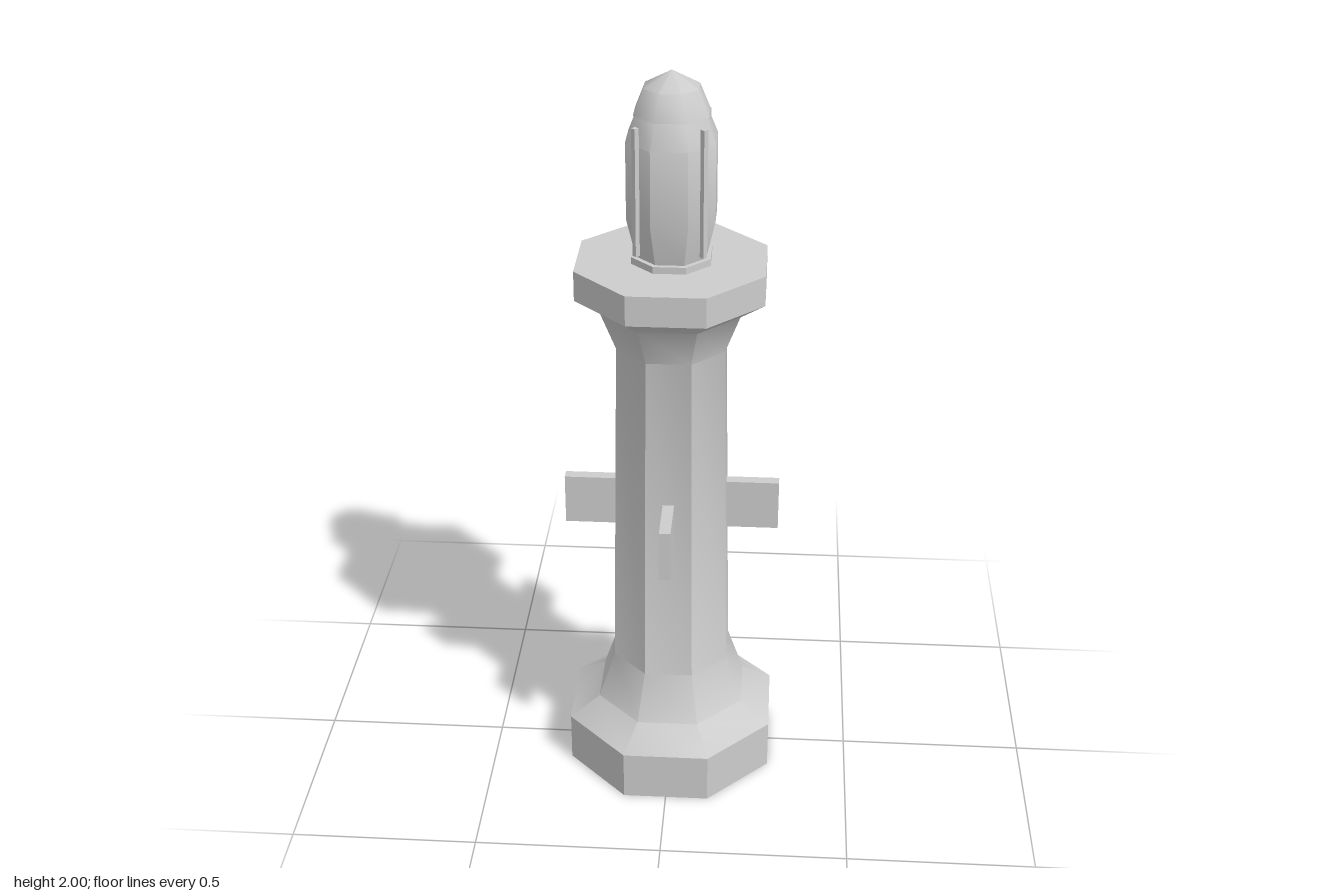
import * as THREE from 'three';
import { toCreasedNormals } from 'three/addons/utils/BufferGeometryUtils.js';

const CREASE = THREE.MathUtils.degToRad(42.8);

// Eight-sided solid with flats facing the axes; profile = [apothem, y] from bottom to top
function octagon(name, profile, material) {
  const k = 1 / Math.cos(Math.PI / 8);
  const points = profile.map(([r, y]) => new THREE.Vector2(r * k, y));
  const geometry = toCreasedNormals(new THREE.LatheGeometry(points, 8, Math.PI / 8), CREASE);
  const mesh = new THREE.Mesh(geometry, material);
  mesh.name = name;
  return mesh;
}

export function createModel() {
  const model = new THREE.Group();
  model.name = 'lanternTower';
  const stone = new THREE.MeshStandardMaterial({ color: 0xcccccc });
  stone.name = 'pale grey';

  // Plinth, flared shaft and gallery slab
  model.add(octagon('tower', [
    [0, 0], [0.28, 0], [0.28, 0.14], [0.2, 0.195], [0.157, 0.33],
    [0.14, 1.28], [0.178, 1.385], [0.24, 1.43], [0.24, 1.51], [0, 1.51],
  ], stone));

  // Lantern on its collar
  model.add(octagon('lanternCollar', [[0, 1.5], [0.1, 1.5], [0.1, 1.528], [0, 1.528]], stone));
  model.add(octagon('lanternBody', [
    [0, 1.52], [0.088, 1.528], [0.111, 1.63], [0.111, 1.83], [0.086, 1.895], [0, 1.895],
  ], stone));
  model.add(octagon('lanternCap', [
    [0, 1.895], [0.092, 1.895], [0.067, 1.96], [0, 2],
  ], stone));

  // Four side fins, and four thin rods on the lantern's diagonals
  const finGeometry = new THREE.BoxGeometry(0.03, 0.14, 0.18).translate(0, 0.8, 0.199);
  const rodGeometry = new THREE.BoxGeometry(0.013, 0.33, 0.013).translate(0, 1.715, 0.118);
  for (let i = 0; i < 4; i++) {
    const fin = new THREE.Mesh(finGeometry, stone);
    fin.name = `fin${i + 1}`;
    fin.rotation.y = i * Math.PI / 2;
    const rod = new THREE.Mesh(rodGeometry, stone);
    rod.name = `lanternRod${i + 1}`;
    rod.rotation.y = Math.PI / 4 + i * Math.PI / 2;
    model.add(fin, rod);
  }
  return model;
}
